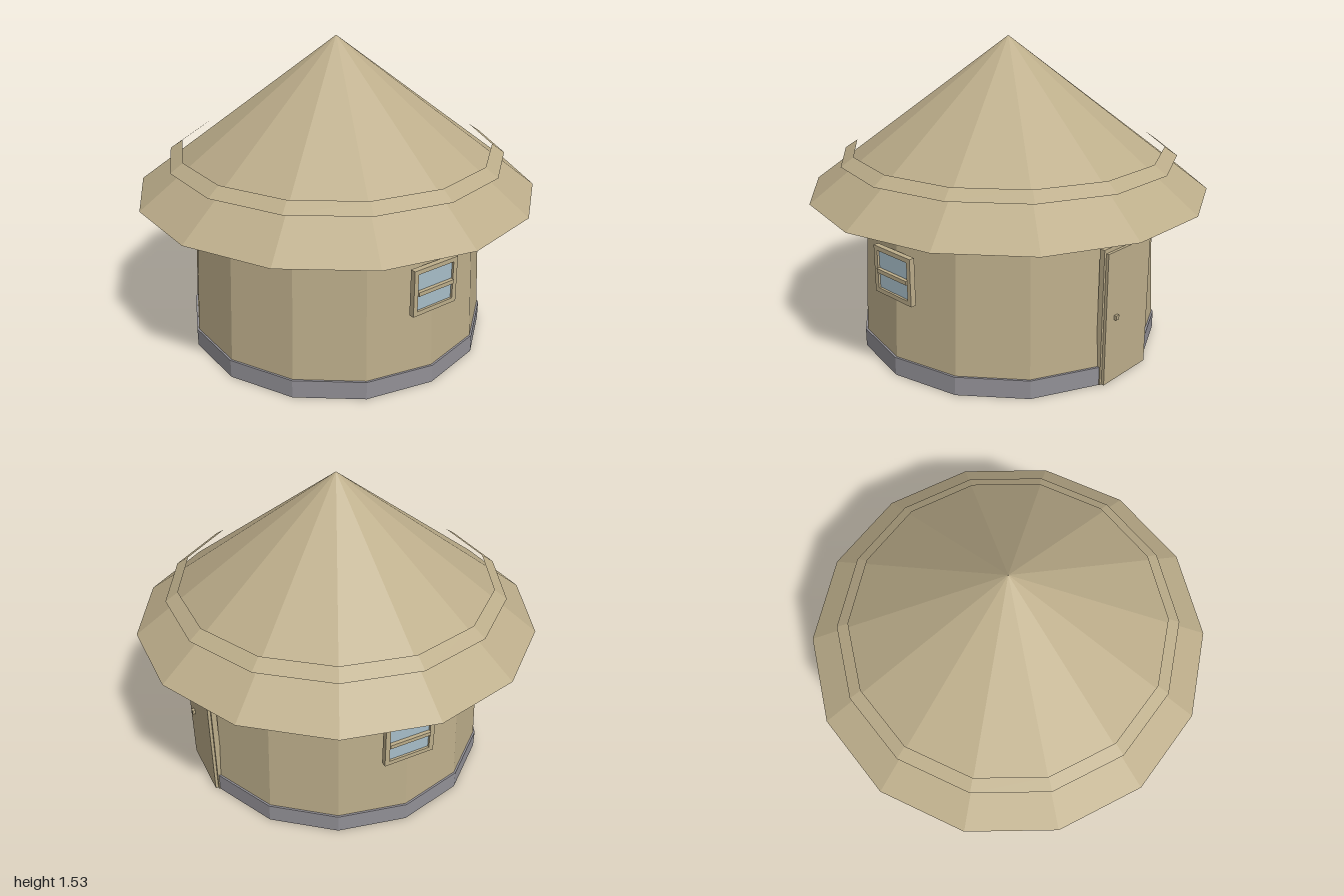
import * as THREE from 'three';

const SIDES = 14;

export function createModel() {
  const model = new THREE.Group();
  model.name = 'roundHut';

  const clay = new THREE.MeshStandardMaterial({ color: 0xbcad8a, flatShading: true });
  clay.name = 'clay';
  const stone = new THREE.MeshStandardMaterial({ color: 0x929096, flatShading: true });
  stone.name = 'stone';
  const glass = new THREE.MeshStandardMaterial({ color: 0xa6bdc8, flatShading: true });
  glass.name = 'glass';

  const add = (parent, name, geometry, material, x = 0, y = 0, z = 0) => {
    const flat = geometry.index ? geometry.toNonIndexed() : geometry;
    flat.computeVertexNormals();
    const mesh = new THREE.Mesh(flat, material);
    mesh.name = name;
    mesh.position.set(x, y, z);
    parent.add(mesh);
    return mesh;
  };

  // Fourteen-sided ring standing from y0 to y1, with a corner on the x axis
  const ring = (rTop, rBottom, y0, y1, open = true) =>
    new THREE.CylinderGeometry(rTop, rBottom, y1 - y0, SIDES, 1, open, Math.PI / 2)
      .translate(0, (y0 + y1) / 2, 0);

  // Tapered wall, with an inward-facing lining
  add(model, 'wall', ring(0.727, 0.765, 0, 0.785), clay);
  const lining = ring(0.725, 0.763, 0, 0.785).toNonIndexed();
  const p = lining.attributes.position;
  for (let i = 0; i < p.count; i++) p.setX(i, -p.getX(i)); // mirroring turns the faces inward
  add(model, 'wallLining', lining, clay);

  // Stone footing with a narrow top ledge
  add(model, 'footing', ring(0.77, 0.77, 0, 0.092), stone);
  add(model, 'footingLedge', ring(0.758, 0.77, 0.092, 0.0925), stone);

  // Roof cone with a flat underside, and a raised band around it
  add(model, 'roof', new THREE.ConeGeometry(1, 0.75, SIDES, 1, false, Math.PI / 2), clay, 0, 1.16, 0);
  add(model, 'roofBand', ring(0.78, 0.843, 0.952, 0.995), clay);

  // Door on the back
  const door = new THREE.Group();
  door.name = 'door';
  model.add(door);
  add(door, 'doorFrame', new THREE.BoxGeometry(0.345, 0.675, 0.026), clay, 0, 0.3375, -0.743);
  add(door, 'doorLeaf', new THREE.BoxGeometry(0.32, 0.655, 0.016), clay, 0, 0.3275, -0.762);
  add(door, 'doorHandle', new THREE.BoxGeometry(0.022, 0.022, 0.014), clay, 0.09, 0.327, -0.776);

  // Window frame outline with an opening
  const rect = (Path, w, h) => new Path([
    new THREE.Vector2(-w, -h), new THREE.Vector2(w, -h),
    new THREE.Vector2(w, h), new THREE.Vector2(-w, h),
  ]);
  const outline = rect(THREE.Shape, 0.13, 0.116);
  outline.holes.push(rect(THREE.Path, 0.106, 0.094));

  // One window on each side, built facing +z and turned outward
  for (const side of [1, -1]) {
    const win = new THREE.Group();
    win.name = side > 0 ? 'leftWindow' : 'rightWindow';
    win.position.set(side * 0.738, 0.511, 0);
    win.rotation.y = side * Math.PI / 2;
    model.add(win);
    add(win, 'windowFrame', new THREE.ExtrudeGeometry(outline, { depth: 0.027, bevelEnabled: false }), clay);
    add(win, 'windowPane', new THREE.BoxGeometry(0.214, 0.19, 0.008), glass, 0, 0, 0.012);
    add(win, 'windowBar', new THREE.BoxGeometry(0.212, 0.02, 0.02), clay, 0, -0.004, 0.024);
  }

  return model;
}
